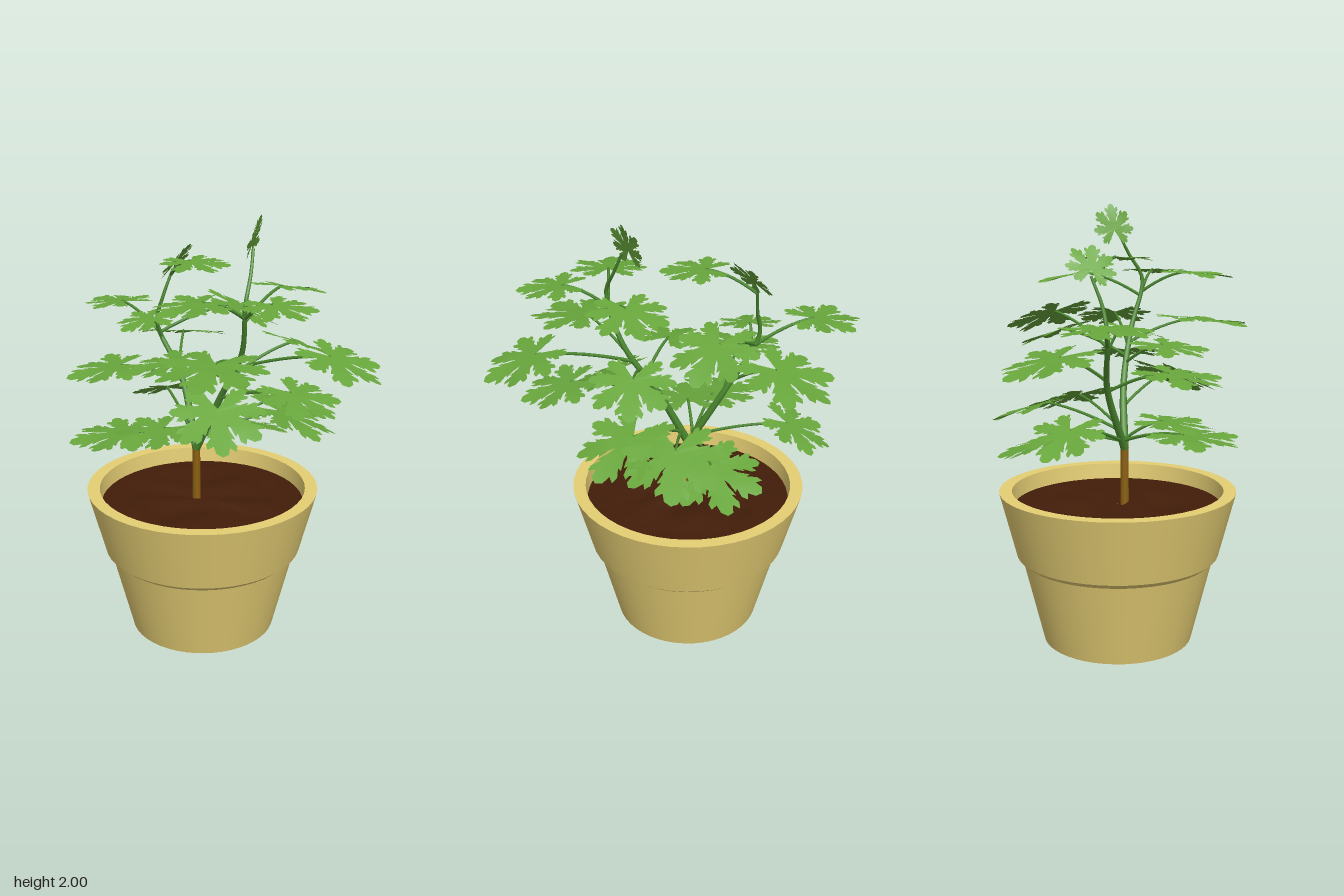
import * as THREE from 'three';
import { mergeGeometries } from 'three/addons/utils/BufferGeometryUtils.js';

const V = (x, y, z) => new THREE.Vector3(x, y, z);

const mat = (name, color, side = THREE.FrontSide) => {
  const m = new THREE.MeshStandardMaterial({ color, side });
  m.name = name;
  return m;
};

// Palmate, toothed leaf blade in the XY plane: petiole at the origin, tip at y = 1
function leafGeometry() {
  const lobes = [[-134, 0.68], [-88, 0.8], [-43, 0.93], [0, 1], [43, 0.93], [88, 0.8], [134, 0.68]];
  // half outline of one lobe: distance along it, distance across it
  const side = [[0.45, 0.15], [0.53, 0.19], [0.63, 0.23], [0.61, 0.16], [0.76, 0.25], [0.87, 0.23], [0.8, 0.13], [0.94, 0.1]];
  const pts = [new THREE.Vector2(0, -0.03)];
  const polar = (deg, r, across = 0) => {
    const a = THREE.MathUtils.degToRad(deg);
    return new THREE.Vector2(
      Math.sin(a) * r + Math.cos(a) * across, Math.cos(a) * r - Math.sin(a) * across);
  };
  lobes.forEach(([deg, len], i) => {
    if (i > 0) pts.push(polar((deg + lobes[i - 1][0]) / 2, 0.34));
    side.forEach(([t, w]) => pts.push(polar(deg, t * len, -w * len)));
    pts.push(polar(deg, len));
    [...side].reverse().forEach(([t, w]) => pts.push(polar(deg, t * len, w * len)));
  });
  const geo = new THREE.ShapeGeometry(new THREE.Shape(pts));
  // slight droop and a gentle ripple towards the edge
  const p = geo.attributes.position;
  for (let i = 0; i < p.count; i++) {
    const x = p.getX(i), y = p.getY(i);
    p.setZ(i, (x * x + y * y) * (0.045 * Math.sin(5 * Math.atan2(x, y)) - 0.04));
  }
  geo.computeVertexNormals();
  return geo;
}

// Stem that tapers from r0 to r1 along a curve
function taperedTube(curve, r0, r1, segments = 16, sides = 8) {
  const geo = new THREE.TubeGeometry(curve, segments, 1, sides);
  const p = geo.attributes.position;
  const v = V(0, 0, 0);
  for (let i = 0; i < p.count; i++) {
    const t = Math.floor(i / (sides + 1)) / segments;
    const c = curve.getPointAt(t);
    v.fromBufferAttribute(p, i).sub(c).multiplyScalar(r0 + (r1 - r0) * t).add(c);
    p.setXYZ(i, v.x, v.y, v.z);
  }
  return geo;
}

export function createModel() {
  const model = new THREE.Group();
  model.name = 'pottedPlant';
  const clay = mat('clay', 0xe5ce74);
  const earth = mat('soil', 0x421d09);
  const bark = mat('bark', 0x8c6012);
  const stemGreen = mat('stemGreen', 0x4c8a30);
  const leafGreen = mat('leafGreen', 0x68a63c, THREE.DoubleSide);

  const add = (name, geo, material, parent = model) => {
    const m = new THREE.Mesh(geo, material);
    m.name = name;
    parent.add(m);
    return m;
  };

  // Pot: one lathe per profile edge keeps the corners sharp
  const profile = [[0, 0], [0.345, 0], [0.44, 0.387], [0.466, 0.41],
    [0.543, 0.71], [0.485, 0.71], [0.475, 0.6]].map(([r, y]) => new THREE.Vector2(r, y));
  const rings = profile.slice(1).map((q, i) => new THREE.LatheGeometry([profile[i], q], 48));
  add('pot', mergeGeometries(rings), clay).position.set(-0.064, 0, -0.012);

  // Soil with low lumps that fade out at the wall
  const soilGeo = new THREE.RingGeometry(0.001, 0.48, 40, 10);
  soilGeo.rotateX(-Math.PI / 2);
  const sp = soilGeo.attributes.position;
  for (let i = 0; i < sp.count; i++) {
    const x = sp.getX(i), z = sp.getZ(i);
    const fade = 1 - Math.hypot(x, z) / 0.48;
    sp.setY(i, 0.035 * fade * Math.sin(x * 13 + 2 * Math.sin(z * 9)) * Math.cos(z * 14 + x * 5));
  }
  soilGeo.computeVertexNormals();
  add('soil', soilGeo, earth).position.set(-0.064, 0.635, -0.012);

  // Woody trunk and two green branches
  add('trunk', new THREE.CylinderGeometry(0.018, 0.02, 0.31, 10), bark).position.set(-0.072, 0.76, 0.02);
  const leftCurve = new THREE.CatmullRomCurve3([V(-0.072, 0.9, 0.02), V(0.07, 1.18, 0.01),
    V(0.22, 1.42, 0.04), V(0.28, 1.65, 0.09), V(0.255, 1.76, 0.03), V(0.225, 1.86, -0.02)]);
  const rightCurve = new THREE.CatmullRomCurve3([V(-0.072, 0.9, 0.02), V(-0.23, 1.2, -0.05),
    V(-0.38, 1.44, -0.04), V(-0.36, 1.56, -0.06), V(-0.34, 1.69, -0.11)]);
  add('leftBranch', taperedTube(leftCurve, 0.019, 0.006, 28), stemGreen);
  add('rightBranch', taperedTube(rightCurve, 0.019, 0.006, 28), stemGreen);

  // Branch point closest to a given height
  const pointAtHeight = (curve, y) => curve.getSpacedPoints(60)
    .reduce((a, b) => (Math.abs(b.y - y) < Math.abs(a.y - y) ? b : a));

  const blade = leafGeometry();
  const leaves = new THREE.Group();
  leaves.name = 'leaves';
  model.add(leaves);

  // Blade centred at c, pointing along f, upper face towards n; returns its base
  const placeLeaf = (c, f, n, size) => {
    f.normalize();
    n.addScaledVector(f, -n.dot(f)).normalize();
    const base = c.clone().addScaledVector(f, -0.28 * size);
    const m = add('leaf', blade, leafGreen, leaves);
    m.quaternion.setFromRotationMatrix(new THREE.Matrix4().makeBasis(f.clone().cross(n), f, n));
    m.scale.setScalar(size);
    m.position.copy(base);
    return base;
  };

  // Leaves on petioles: centre x, y, z, size, downward pitch in degrees
  const leftLeaves = [
    [0.68, 1.44, -0.07, 0.24, 18], [0.53, 1.27, 0.0, 0.23, 14], [0.52, 1.68, 0.15, 0.2, 5],
    [0.22, 1.68, 0.36, 0.22, 4], [0.24, 1.67, -0.25, 0.22, 10], [0.37, 1.45, 0.41, 0.29, 5],
    [0.26, 1.39, -0.35, 0.23, 20], [0.29, 1.18, 0.26, 0.26, 26], [0.1, 1.06, -0.43, 0.29, 18],
    [0.29, 1.07, -0.26, 0.28, 20], [-0.06, 1.36, 0.24, 0.23, 8],
  ];
  const rightLeaves = [
    [-0.69, 1.5, -0.05, 0.22, 3], [-0.45, 1.34, -0.3, 0.28, 14], [-0.4, 1.28, 0.28, 0.25, 7],
    [-0.3, 1.0, 0.35, 0.26, 3], [-0.53, 1.04, -0.22, 0.22, 24], [-0.1, 0.93, -0.37, 0.28, 17],
    [-0.08, 1.5, -0.33, 0.24, 24], [-0.08, 1.76, 0.0, 0.2, 3], [-0.36, 1.47, 0.07, 0.18, 10],
    [-0.12, 1.03, 0.26, 0.24, 5],
  ];
  for (const [curve, list] of [[leftCurve, leftLeaves], [rightCurve, rightLeaves]]) {
    for (const [x, y, z, size, pitch] of list) {
      const c = V(x, y, z);
      const start = pointAtHeight(curve, Math.max(0.94, y - 0.1));
      const f = V(x - start.x, 0, z - start.z).normalize();
      f.y = -Math.tan(THREE.MathUtils.degToRad(pitch));
      const base = placeLeaf(c, f, V(0, 1, 0), size);
      const mid = start.clone().lerp(base, 0.55);
      mid.y += 0.035;
      const path = new THREE.QuadraticBezierCurve3(start, mid, base);
      add('petiole', taperedTube(path, 0.008, 0.006, 8, 6), stemGreen, leaves);
    }
  }

  // Young upright leaves at the branch tips
  placeLeaf(V(0.21, 1.91, -0.045), V(0.2, 0.95, -0.15), V(-0.8, 0.35, 0.4), 0.125);
  placeLeaf(V(-0.3, 1.745, -0.11), V(0.65, 0.72, 0), V(-0.7, 0.65, 0.3), 0.14);

  return model;
}
